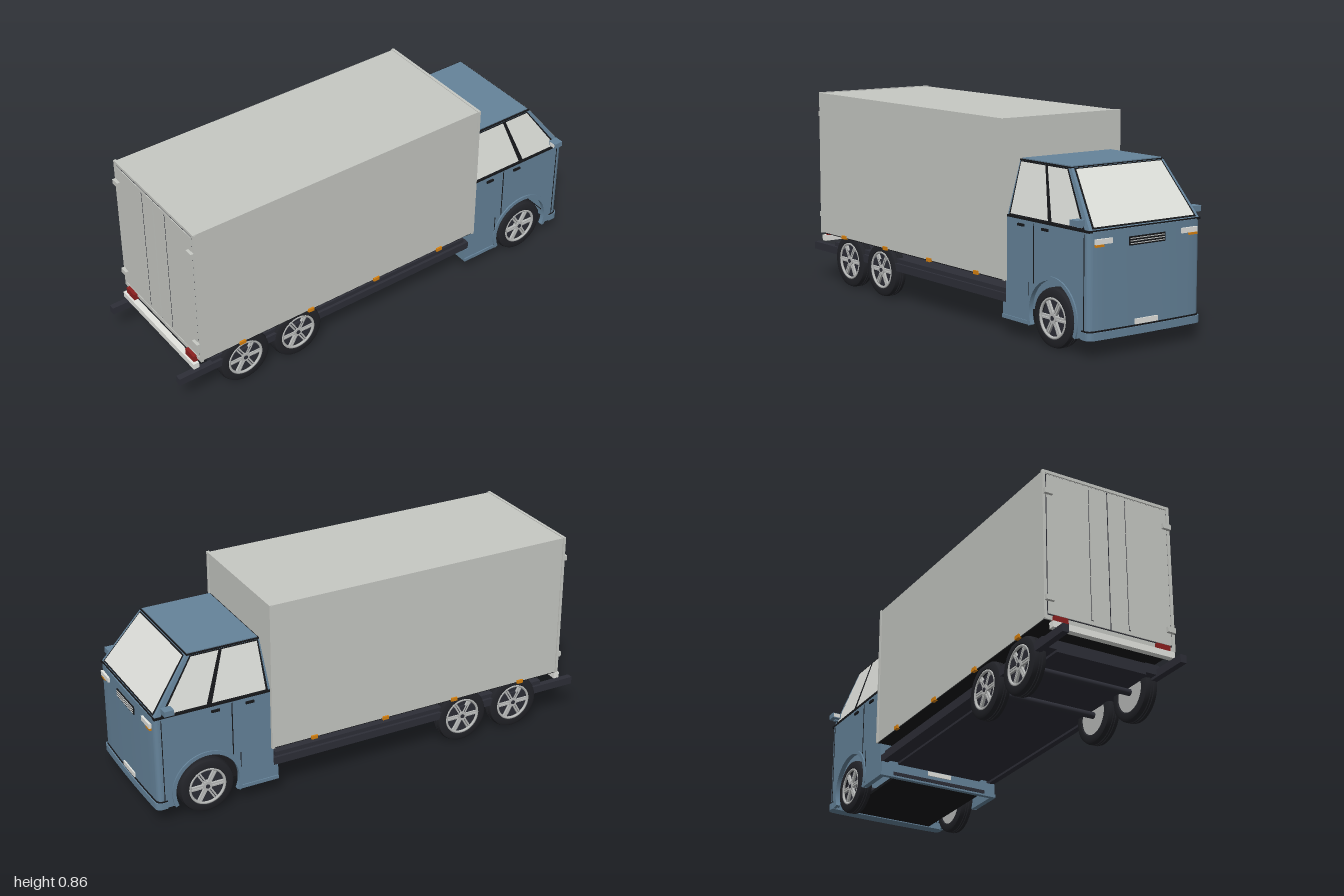
import * as THREE from 'three';
import { toCreasedNormals } from 'three/addons/utils/BufferGeometryUtils.js';

const mat = (name, color) => {
  const m = new THREE.MeshStandardMaterial({ color });
  m.name = name;
  return m;
};

export function createModel() {
  const blue = mat('cab blue', 0x65839a);
  const grey = mat('cargo grey', 0xc6c8c3);
  const glass = mat('pale glass', 0xdfe1dc);
  const dark = mat('chassis charcoal', 0x2d2e37);
  const black = mat('trim black', 0x16171a);
  const rubber = mat('tyre rubber', 0x222328);
  const silver = mat('rim silver', 0xb9bbba);
  const red = mat('lamp red', 0x8c1f1f);
  const amber = mat('marker amber', 0xd9820f);
  const white = mat('light white', 0xe4e5e0);
  glass.side = THREE.DoubleSide;

  const truck = new THREE.Group();
  truck.name = 'boxTruck';
  const add = (name, geo, material, parent = truck) => {
    const m = new THREE.Mesh(geo, material);
    m.name = name;
    parent.add(m);
    return m;
  };
  // Box given by its extents along x, y and z
  const box = (name, material, x0, x1, y0, y1, z0, z1, parent) => {
    const g = new THREE.BoxGeometry(Math.abs(x1 - x0), y1 - y0, z1 - z0);
    g.translate((x0 + x1) / 2, (y0 + y1) / 2, (z0 + z1) / 2);
    return add(name, g, material, parent);
  };

  // ---- Cargo box with a dark floor and rim trims
  box('cargoBox', grey, -0.292, 0.292, 0.222, 0.86, -0.483, 0.902);
  box('cargoFloor', black, -0.29, 0.29, 0.218, 0.222, -0.48, 0.9);
  for (const z of [-0.481, 0.901]) {
    box('topEdgeTrim', grey, -0.296, 0.296, 0.85, 0.863, z - 0.006, z + 0.006);
    for (const s of [-1, 1]) box('cornerTrim', grey, s * 0.284, s * 0.297, 0.22, 0.86, z - 0.006, z + 0.006);
  }
  box('rearSill', grey, -0.292, 0.292, 0.218, 0.236, 0.9, 0.907);

  // ---- Rear doors, ribs, hinges, lamps and side markers
  box('doorShadowGap', dark, -0.282, 0.282, 0.239, 0.846, 0.9, 0.9045);
  for (const s of [-1, 1]) {
    box('rearDoor', grey, s * 0.003, s * 0.279, 0.242, 0.843, 0.9, 0.908);
    box('doorRibShadow', dark, s * 0.081, s * 0.089, 0.258, 0.83, 0.906, 0.909);
    box('doorRib', grey, s * 0.0825, s * 0.0875, 0.26, 0.828, 0.906, 0.914);
    for (const y of [0.305, 0.765]) {
      box('hinge', grey, s * 0.257, s * 0.294, y - 0.011, y + 0.011, 0.9, 0.921);
    }
    box('tailLamp', red, s * 0.2, s * 0.262, 0.204, 0.232, 0.9, 0.922);
    for (const z of [-0.295, 0.04, 0.375, 0.71]) {
      box('sideMarker', amber, s * 0.285, s * 0.3, 0.216, 0.231, z - 0.014, z + 0.014);
    }
  }
  box('rearBumper', white, -0.275, 0.275, 0.178, 0.204, 0.905, 0.931);

  // ---- Chassis
  box('chassisBed', dark, -0.202, 0.202, 0.13, 0.178, -0.46, 0.84);
  for (const s of [-1, 1]) {
    box('frameRail', dark, s * 0.25, s * 0.277, 0.13, 0.163, -0.49, 1.0);
    box('upperRail', dark, s * 0.2, s * 0.265, 0.14, 0.181, -0.46, 0.84);
  }

  // ---- Wheels
  const tyreProfile = [[0.08, -0.026], [0.084, -0.03], [0.104, -0.03], [0.114, -0.025], [0.118, -0.014],
    [0.118, -0.008], [0.114, -0.007], [0.114, -0.004], [0.118, -0.003], [0.118, 0.003], [0.114, 0.004],
    [0.114, 0.007], [0.118, 0.008], [0.118, 0.014], [0.114, 0.025], [0.104, 0.03], [0.084, 0.03],
    [0.08, 0.026], [0.08, -0.026]].map(p => new THREE.Vector2(...p));
  const tyreGeo = toCreasedNormals(new THREE.LatheGeometry(tyreProfile, 40), 0.7).rotateZ(-Math.PI / 2);
  const disc = (r, h, x) => new THREE.CylinderGeometry(r, r, h, 32).rotateZ(-Math.PI / 2).translate(x, 0, 0);
  const makeWheel = (s, z) => {
    const w = new THREE.Group();
    w.name = 'wheel';
    add('tyre', tyreGeo, rubber, w);
    add('rimBack', disc(0.081, 0.03, -0.01), silver, w);
    add('rimWell', disc(0.079, 0.004, 0.007), dark, w);
    add('rimRing', new THREE.TorusGeometry(0.077, 0.006, 8, 40).rotateY(Math.PI / 2).translate(0.024, 0, 0), silver, w);
    add('hub', disc(0.02, 0.02, 0.018), silver, w);
    add('hubCap', disc(0.009, 0.004, 0.029), dark, w);
    for (let i = 0; i < 6; i++) {
      const a = i * Math.PI / 3 + Math.PI / 6;
      for (const d of [-1, 1]) {
        const spoke = new THREE.BoxGeometry(0.01, 0.066, 0.007).translate(0.021, 0.044, d * 0.005);
        add('spoke', spoke.rotateX(a), silver, w);
      }
    }
    w.position.set(s * 0.252, 0.118, z);
    if (s < 0) w.rotation.y = Math.PI;
    truck.add(w);
  };
  for (const z of [-0.77, 0.43, 0.69]) {
    for (const s of [-1, 1]) makeWheel(s, z);
    add('axle', disc(0.014, 0.46, 0), dark).position.set(0, 0.118, z);
  }

  // ---- Cab lower body: side panels with open wheel arches
  const cab = new THREE.Group();
  cab.name = 'cab';
  truck.add(cab);
  const arcStart = Math.atan2(-0.055, -0.129), arcEnd = Math.atan2(-0.055, 0.129);
  const side = new THREE.Shape();
  side.moveTo(0.475, 0.48);
  side.lineTo(0.475, 0.13);
  side.lineTo(0.455, 0.13);
  side.lineTo(0.455, 0.07);
  side.lineTo(0.641, 0.07);
  side.absarc(0.77, 0.125, 0.14, arcStart + 2 * Math.PI, arcEnd, true);
  side.lineTo(0.965, 0.07);
  side.lineTo(0.965, 0.48);
  const lip = new THREE.Shape();
  lip.absarc(0.77, 0.125, 0.155, arcStart + 2 * Math.PI, arcEnd, true);
  lip.absarc(0.77, 0.125, 0.139, arcEnd, arcStart + 2 * Math.PI, false);
  const sideExtrude = (shape, depth, x) => toCreasedNormals(new THREE.ExtrudeGeometry(shape,
    { depth, bevelEnabled: false, curveSegments: 24 }).rotateY(Math.PI / 2).translate(x, 0, 0), 0.6);
  for (const s of [-1, 1]) {
    add('sidePanel', sideExtrude(side, 0.012, s > 0 ? 0.268 : -0.28), blue, cab);
    add('archLip', sideExtrude(lip, 0.02, s > 0 ? 0.266 : -0.286), blue, cab);
    // Door seams, handles and sill steps
    box('doorSeam', black, s * 0.279, s * 0.2815, 0.235, 0.47, -0.655, -0.651, cab);
    box('doorSeam', black, s * 0.279, s * 0.2815, 0.08, 0.235, -0.622, -0.619, cab);
    box('doorSeam', black, s * 0.279, s * 0.2815, 0.08, 0.47, -0.958, -0.955, cab);
    for (const z of [-0.575, -0.725]) box('doorHandle', black, s * 0.279, s * 0.287, 0.45, 0.46, z - 0.018, z + 0.018, cab);
    box('sill', blue, s * 0.262, s * 0.285, 0.067, 0.082, -0.63, -0.455, cab);
    // Door mirror
    const arm = box('mirrorArm', blue, s * 0.25, s * 0.295, 0.493, 0.503, -0.945, -0.93, cab);
    arm.name = 'mirrorArm';
    box('mirror', blue, s * 0.275, s * 0.314, 0.5, 0.523, -0.953, -0.912, cab);
    box('mirrorGlass', white, s * 0.28, s * 0.31, 0.503, 0.52, -0.913, -0.91, cab);
    // Headlamp
    box('headlamp', white, s * 0.175, s * 0.255, 0.432, 0.452, -0.997, -0.975, cab);
    box('turnLamp', amber, s * 0.215, s * 0.255, 0.422, 0.431, -0.996, -0.975, cab);
  }

  // Gently bowed front panel and bumper, drawn in plan
  const bowed = (grow, y0, y1) => {
    const x = 0.28 + grow / 2, f = 0.986 + grow, p = new THREE.Shape();
    p.moveTo(-x, 0.945);
    p.lineTo(x, 0.945);
    p.lineTo(x, f - 0.025);
    p.quadraticCurveTo(x, f - 0.002, x - 0.025, f);
    p.quadraticCurveTo(0, f + 0.01, -x + 0.025, f);
    p.quadraticCurveTo(-x, f - 0.002, -x, f - 0.025);
    const g = new THREE.ExtrudeGeometry(p, { depth: y1 - y0, bevelEnabled: false, curveSegments: 10 });
    return toCreasedNormals(g.rotateX(-Math.PI / 2).translate(0, y0, 0), 0.7);
  };
  add('frontPanel', bowed(0, 0.075, 0.48), blue, cab);
  add('frontBumper', bowed(0.008, 0.068, 0.098), blue, cab);
  add('bumperSeam', bowed(0.003, 0.098, 0.104), black, cab);
  box('grille', black, -0.09, 0.09, 0.412, 0.447, -0.994, -0.98, cab);
  for (let i = 0; i < 3; i++) {
    box('grilleSlat', silver, -0.085, 0.085, 0.418 + i * 0.01, 0.421 + i * 0.01, -0.997, -0.99, cab);
  }
  box('frontPlate', white, -0.057, 0.057, 0.106, 0.127, -0.997, -0.985, cab);

  // Rear wall, skirt and floor
  box('rearWall', blue, -0.27, 0.27, 0.125, 0.48, -0.49, -0.476, cab);
  box('rearSkirt', blue, -0.268, 0.268, 0.067, 0.128, -0.475, -0.455, cab);
  box('skirtStripe', dark, -0.225, 0.225, 0.075, 0.09, -0.456, -0.452, cab);
  box('rearPlate', white, -0.057, 0.057, 0.105, 0.125, -0.456, -0.451, cab);
  box('cabFloor', black, -0.21, 0.21, 0.072, 0.084, -0.96, -0.47, cab);
  box('beltTrim', black, -0.2815, 0.2815, 0.476, 0.485, -0.985, -0.476, cab);

  // ---- Cab upper: tapered shell
  const base = { x: 0.276, y: 0.483, back: -0.482, front: -0.982 };
  const top = { x: 0.232, y: 0.7, back: -0.505, front: -0.818 };
  const shell = new THREE.BoxGeometry(1, 1, 1).toNonIndexed();
  const pos = shell.attributes.position;
  for (let i = 0; i < pos.count; i++) {
    const r = pos.getY(i) > 0 ? top : base;
    pos.setXYZ(i, Math.sign(pos.getX(i)) * r.x, r.y, pos.getZ(i) > 0 ? r.back : r.front);
  }
  shell.computeVertexNormals();
  add('cabShell', shell, blue, cab);
  box('roofPanel', blue, -0.226, 0.226, 0.698, 0.706, -0.813, -0.51, cab);
  box('roofSeam', black, -0.233, 0.233, 0.697, 0.702, -0.819, -0.504, cab);

  // Thin pane on a sloped face: corners a, b (bottom), c, d (top), trimmed by fractions
  const pane = (name, material, [a, b, c, d], u0, u1, v0, v1, off) => {
    const n = b.clone().sub(a).cross(d.clone().sub(a)).normalize().multiplyScalar(off);
    const at = (u, v) => a.clone().lerp(b, u).lerp(d.clone().lerp(c, u), v).add(n);
    const g = new THREE.BufferGeometry().setFromPoints([at(u0, v0), at(u1, v0), at(u1, v1), at(u0, v1)]);
    g.setIndex([0, 1, 2, 0, 2, 3]);
    g.computeVertexNormals();
    add(name, g, material, cab);
  };
  const P = (s, r, z) => new THREE.Vector3(s * r.x, r.y, r[z]);
  const windscreen = [P(1, base, 'front'), P(-1, base, 'front'), P(-1, top, 'front'), P(1, top, 'front')];
  pane('windscreenSeal', black, windscreen, 0.025, 0.975, 0.02, 0.985, 0.002);
  pane('windscreen', glass, windscreen, 0.04, 0.96, 0.045, 0.965, 0.004);
  const left = [P(1, base, 'back'), P(1, base, 'front'), P(1, top, 'front'), P(1, top, 'back')];
  const right = [P(-1, base, 'front'), P(-1, base, 'back'), P(-1, top, 'back'), P(-1, top, 'front')];
  for (const [face, flip] of [[left, false], [right, true]]) {
    const strip = (name, m, u0, u1, v0, v1, off) => flip
      ? pane(name, m, face, 1 - u1, 1 - u0, v0, v1, off) : pane(name, m, face, u0, u1, v0, v1, off);
    strip('sideWindowSeal', black, 0.02, 0.95, 0.01, 0.985, 0.002);
    strip('rearSideWindow', glass, 0.04, 0.515, 0.03, 0.965, 0.004);
    strip('frontSideWindow', glass, 0.56, 0.93, 0.03, 0.965, 0.004);
  }
  return truck;
}
